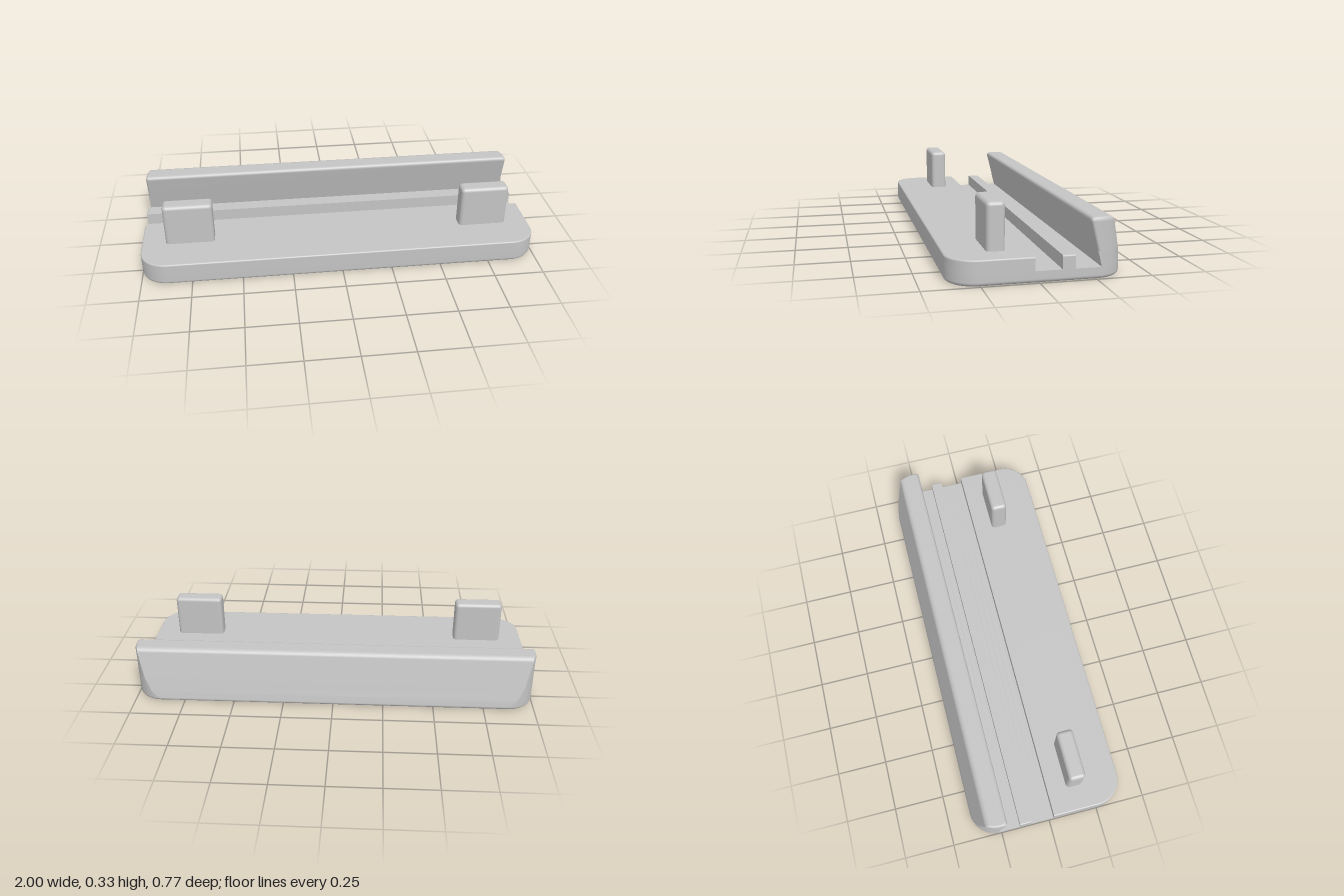
import * as THREE from 'three';
import { RoundedBoxGeometry } from 'three/addons/geometries/RoundedBoxGeometry.js';

const HALF_X = 1, HALF_Z = 0.385, CORNER = 0.13; // rounded plan of the whole stand
const STEPS = 40;

// Half width of the plan, shrunk by inset, at depth z
function halfWidth(z, inset) {
  const r = CORNER - inset;
  const over = Math.min(r, Math.max(0, Math.abs(z) - (HALF_Z - CORNER)));
  return HALF_X - CORNER + Math.sqrt(r * r - over * over);
}

// Closed outline of the plan between depths front and back;
// round softens the two vertical front edges
function outline({ y, front, back, inset = 0, round = 0 }) {
  const zf = Math.min(front, HALF_Z - inset), zb = Math.max(back, inset - HALF_Z);
  const right = [];
  for (let i = 0; i <= STEPS; i++) {
    const z = (zf + zb) / 2 + (zf - zb) / 2 * Math.cos(Math.PI * i / STEPS);
    const gap = Math.min(round, Math.max(0, round - (zf - z)));
    const x = halfWidth(z, inset) - (round - Math.sqrt(round * round - gap * gap));
    right.push(new THREE.Vector3(x, y, z));
  }
  const left = right.map((p) => new THREE.Vector3(-p.x, p.y, p.z)).reverse();
  return right.concat(left);
}

// Geometry with smooth normals below the crease angle; large faces weigh more,
// so flat faces stay flat next to small rounded edges
function creasedGeometry(triangles, crease = 0.6) {
  const key = (p) => [p.x, p.y, p.z].map((v) => Math.round(v * 1e5)).join();
  const around = new Map();
  const faces = triangles.map((points) => {
    const [a, b, c] = points;
    const normal = b.clone().sub(a).cross(c.clone().sub(a));
    return { points, normal, unit: normal.clone().normalize() };
  });
  for (const face of faces) {
    for (const p of face.points) {
      const k = key(p);
      if (!around.has(k)) around.set(k, []);
      around.get(k).push(face);
    }
  }
  const pos = [], nor = [], limit = Math.cos(crease);
  for (const face of faces) {
    for (const p of face.points) {
      const sum = new THREE.Vector3();
      for (const other of around.get(key(p))) {
        if (other.unit.dot(face.unit) > limit) sum.add(other.normal);
      }
      pos.push(...p.toArray());
      nor.push(...sum.normalize().toArray());
    }
  }
  const geometry = new THREE.BufferGeometry();
  geometry.setAttribute('position', new THREE.Float32BufferAttribute(pos, 3));
  geometry.setAttribute('normal', new THREE.Float32BufferAttribute(nor, 3));
  return geometry;
}

// Solid through a stack of outlines, from bottom to top
function loft(rows) {
  const rings = rows.map(outline), n = rings[0].length, triangles = [];
  const tri = (a, b, c) => {
    const area = b.clone().sub(a).cross(c.clone().sub(a)).length();
    if (area > 1e-9) triangles.push([a, b, c]);
  };
  const quad = (a, b, c, d) => { tri(a, b, c); tri(a, c, d); };
  for (let k = 0; k + 1 < rings.length; k++) {
    const lo = rings[k], hi = rings[k + 1];
    for (let i = 0; i < n; i++) {
      const j = (i + 1) % n;
      quad(lo[i], lo[j], hi[j], hi[i]);
    }
  }
  const bottom = rings[0], top = rings[rings.length - 1];
  for (let i = 0; i < STEPS; i++) {
    const l = n - 1 - i;
    quad(top[i], top[i + 1], top[l - 1], top[l]);
    quad(bottom[l], bottom[l - 1], bottom[i + 1], bottom[i]);
  }
  return creasedGeometry(triangles);
}

// Rounded edge as [height, inset] steps of a quarter circle, from wall to top
function fillet(r, steps = 5) {
  return Array.from({ length: steps + 1 }, (_, i) => {
    const a = Math.PI / 2 * i / steps;
    return [r * Math.sin(a), r * (1 - Math.cos(a))];
  });
}

export function createModel() {
  const group = new THREE.Group();
  const grey = new THREE.MeshStandardMaterial({ color: 0xc4c4c4 });
  grey.name = 'light grey';
  const add = (name, geometry) => {
    const mesh = new THREE.Mesh(geometry, grey);
    mesh.name = name;
    group.add(mesh);
    return mesh;
  };

  const floor = 0.053, deck = 0.114, wallTop = 0.268, lean = 0.25;
  const wallFront = (y) => -0.27 + lean * (y - floor);
  const wallBack = (y) => -0.387 + lean * Math.max(0, y - 0.014);

  // Base slab with a rounded lower edge and a leaning back
  const r = 0.018;
  const slabRows = fillet(r).reverse().map(([h, inset]) =>
    ({ y: r - h, front: HALF_Z, back: wallBack(r - h), inset }));
  slabRows.push({ y: floor, front: HALF_Z, back: wallBack(floor) });
  add('baseSlab', loft(slabRows));

  // Deck and ridge above the grooves, softened on their outer upper edge
  const edge = 0.007;
  for (const [name, front, back] of [['frontDeck', HALF_Z, 0.02], ['middleRidge', -0.098, -0.155]]) {
    const rows = [{ y: floor, front, back }];
    for (const [h, inset] of fillet(edge, 4)) rows.push({ y: deck - edge + h, front, back, inset });
    add(name, loft(rows));
  }

  // Leaning back wall with a rounded top and rounded front edges
  const soft = 0.02;
  const wallRows = [[floor, 0], [deck, 0], [0.125, 0.012]].map(([y, round]) =>
    ({ y, front: wallFront(y), back: wallBack(y), round }));
  for (const [h, inset] of fillet(soft)) {
    const y = wallTop - soft + h;
    wallRows.push({
      y, front: wallFront(y) - inset, back: wallBack(y) + inset,
      inset: inset * 0.6, round: 0.012,
    });
  }
  add('backWall', loft(wallRows));

  // Two upright stops at the front
  const postBottom = 0.065, postTop = 0.327;
  for (const [name, side] of [['leftPost', 1], ['rightPost', -1]]) {
    const post = add(name, new RoundedBoxGeometry(0.246, postTop - postBottom, 0.083, 4, 0.019));
    post.position.set(side * 0.757, (postTop + postBottom) / 2, 0.159);
  }
  return group;
}
